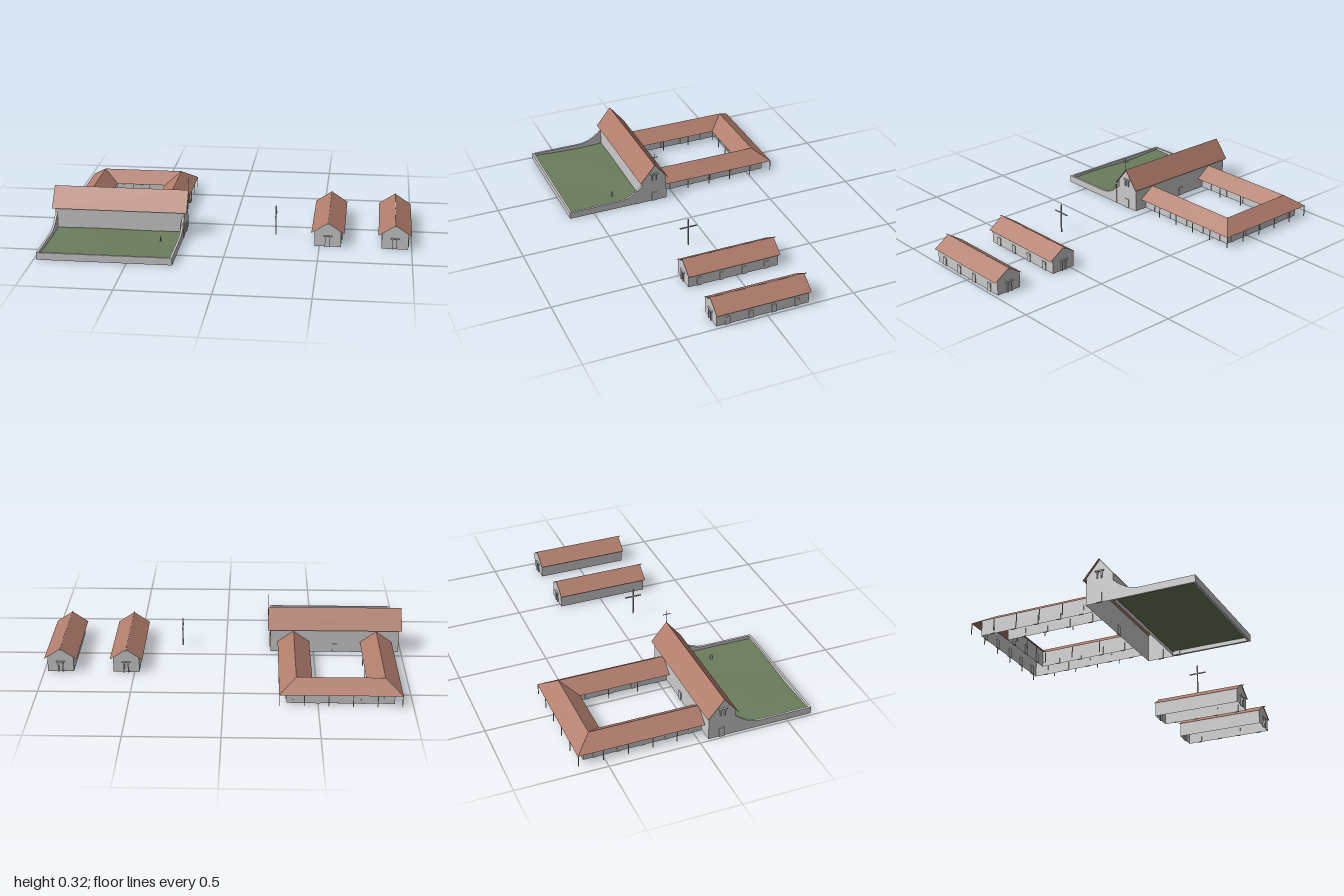
import * as THREE from 'three';

const grey = new THREE.MeshStandardMaterial({ color: 0xcccccc, flatShading: true, side: THREE.DoubleSide });
const tile = new THREE.MeshStandardMaterial({ color: 0xb07c6b, side: THREE.DoubleSide });
const grass = new THREE.MeshStandardMaterial({ color: 0x6b7d5c, side: THREE.DoubleSide });

function mesh(parent, name, geometry, material = grey) {
  const m = new THREE.Mesh(geometry, material);
  m.name = name;
  parent.add(m);
  return m;
}

// box standing on height y
function box(parent, name, w, h, d, x, y, z) {
  const m = mesh(parent, name, new THREE.BoxGeometry(w, h, d));
  m.position.set(x, y + h / 2, z);
  return m;
}

// sheet joining rows of points, flat shaded
function sheet(rows) {
  const p = [];
  for (let i = 0; i + 1 < rows.length; i++) {
    for (let j = 0; j + 1 < rows[i].length; j++) {
      const a = rows[i][j], b = rows[i][j + 1], c = rows[i + 1][j + 1], d = rows[i + 1][j];
      p.push(...a, ...b, ...c, ...a, ...c, ...d);
    }
  }
  const g = new THREE.BufferGeometry();
  g.setAttribute('position', new THREE.Float32BufferAttribute(p, 3));
  g.computeVertexNormals();
  return g;
}

// two jambs with a wide lintel, on an end wall
function portal(parent, name, y, z, h) {
  const g = new THREE.Group();
  g.name = name;
  for (const s of [-1, 1]) box(g, 'jamb', 0.007, h, 0.012, s * 0.012, 0, 0);
  box(g, 'lintel', 0.048, 0.006, 0.014, 0, h - 0.003, 0);
  g.position.set(0, y, z);
  parent.add(g);
}

// open gabled shell with a folded roof, long axis on z
function gabledHouse(name, o) {
  const g = new THREE.Group();
  g.name = name;
  const slope = (o.ridge - o.eave) / o.roofHalf;
  const wallTop = o.ridge - slope * o.wallHalf;
  const zw = o.wallLen / 2, zr = o.roofLen / 2, w = o.wallHalf;
  for (const s of [-1, 1]) {
    mesh(g, 'sideWall', sheet([[[s * w, 0, -zw], [s * w, 0, zw]], [[s * w, wallTop, -zw], [s * w, wallTop, zw]]]));
    const gable = new THREE.Shape([[-w, 0], [w, 0], [w, wallTop], [0, o.ridge], [-w, wallTop]].map(q => new THREE.Vector2(...q)));
    mesh(g, 'gableWall', new THREE.ShapeGeometry(gable)).position.z = s * zw;
  }
  mesh(g, 'roof', sheet([-1, 0, 1].map(s => {
    const y = s ? o.eave : o.ridge;
    return [[s * o.roofHalf, y, -zr], [s * o.roofHalf, y, zr]];
  })), tile);
  return g;
}

function cross(parent, name, x, y, z, height, span, armY, t) {
  const g = new THREE.Group();
  g.name = name;
  box(g, 'upright', t, height, t, 0, 0, 0);
  box(g, 'crossArm', t, t, span, 0, armY, 0);
  g.position.set(x, y, z);
  parent.add(g);
}

// three-winged cloister: outline at inset d from the outer eaves
const X0 = -0.945, X1 = -0.295, Z0 = -0.645, Z1 = 0.05;
const outline = (d, y) => [[X0 + d, y, Z1], [X0 + d, y, Z0 + d], [X1 - d, y, Z0 + d], [X1 - d, y, Z1]];

function cloister() {
  const g = new THREE.Group();
  g.name = 'cloister';
  mesh(g, 'cloisterRoof', sheet([outline(0, 0.063), outline(0.09, 0.127), outline(0.18, 0.063)]), tile);
  for (const d of [0.04, 0.14]) {
    mesh(g, 'cloisterWall', sheet([outline(d, 0), outline(d, 0.09)]));
    // doors along both wings and the back
    for (const z of [-0.54, -0.41, -0.277, -0.145, -0.015]) {
      if (z < Z0 + d) continue;
      for (const x of [X0 + d, X1 - d]) box(g, 'door', 0.008, 0.048, 0.026, x, 0, z);
    }
    for (let i = -2; i <= 2; i++) {
      const x = -0.62 + i * 0.12;
      if (x > X0 + d && x < X1 - d) box(g, 'door', 0.026, 0.048, 0.008, x, 0, Z0 + d);
    }
  }
  // thin posts carrying the outer and inner eaves
  for (const d of [0.003, 0.177]) {
    const n = d < 0.1 ? 5 : 3;
    const za = Z0 + d, xa = X0 + d, xb = X1 - d;
    for (let i = 0; i < n; i++) {
      const z = za + (0.03 - za) * i / n;
      for (const x of [xa, xb]) box(g, 'post', 0.004, 0.063, 0.004, x, 0, z);
      if (i) box(g, 'post', 0.004, 0.063, 0.004, xa + (xb - xa) * i / n, 0, za);
    }
  }
  return g;
}

function garden() {
  const g = new THREE.Group();
  g.name = 'garden';
  // gently rolling lawn
  const lawn = new THREE.PlaneGeometry(0.71, 0.44, 24, 16).rotateX(-Math.PI / 2);
  lawn.translate(-0.62, 0, 0.42);
  const p = lawn.attributes.position;
  for (let i = 0; i < p.count; i++) {
    p.setY(i, 0.022 + 0.006 * Math.sin(p.getX(i) * 11) * Math.cos(p.getZ(i) * 9));
  }
  lawn.computeVertexNormals();
  mesh(g, 'lawn', lawn, grass);
  // side walls sweep up to the hall
  const side = new THREE.Shape();
  side.moveTo(0.645, 0);
  side.lineTo(0.645, 0.04);
  side.lineTo(0.35, 0.04);
  side.quadraticCurveTo(0.275, 0.04, 0.2, 0.112);
  side.lineTo(0.2, 0);
  for (const x of [-0.255, -0.973]) {
    const geo = new THREE.ExtrudeGeometry(side, { depth: 0.012, bevelEnabled: false, curveSegments: 8 });
    mesh(g, 'gardenSideWall', geo.rotateY(-Math.PI / 2)).position.x = x;
  }
  box(g, 'gardenFrontWall', 0.73, 0.04, 0.012, -0.62, 0, 0.639);
  box(g, 'gardenGate', 0.02, 0.085, 0.026, -0.262, 0, 0.232);
  box(g, 'gardenMarker', 0.006, 0.028, 0.012, -0.365, 0.018, 0.35);
  return g;
}

export function createModel() {
  const root = new THREE.Group();
  root.name = 'compound';

  // main hall, long axis turned onto x
  const hall = gabledHouse('hall', { wallHalf: 0.075, roofHalf: 0.088, eave: 0.135, ridge: 0.243, wallLen: 0.73, roofLen: 0.76 });
  for (const s of [-1, 1]) {
    portal(hall, 'gableWindow', 0.137, s * 0.367, 0.04);
    box(hall, 'hallDoor', 0.03, 0.055, 0.01, 0, 0, s * 0.365);
  }
  box(hall, 'courtDoor', 0.01, 0.05, 0.028, 0.075, 0, 0);
  hall.rotation.y = Math.PI / 2;
  hall.position.set(-0.62, 0, 0.127);
  root.add(hall);
  cross(root, 'roofCross', -0.242, 0.24, 0.128, 0.077, 0.044, 0.053, 0.003);

  root.add(cloister(), garden());
  cross(root, 'standingCross', 0.25, 0, 0.125, 0.168, 0.1, 0.115, 0.006);

  // two long houses
  for (const x of [0.545, 0.909]) {
    const house = gabledHouse('longHouse', { wallHalf: 0.072, roofHalf: 0.09, eave: 0.076, ridge: 0.137, wallLen: 0.525, roofLen: 0.535 });
    for (const s of [-1, 1]) portal(house, 'endDoorFrame', 0, s * 0.264, 0.06);
    for (const z of [0.2, 0.07, -0.06, -0.192]) box(house, 'sideDoor', 0.01, 0.048, 0.026, 0.072, 0, z);
    box(house, 'ridgePole', 0.004, 0.004, 0.56, 0, 0.132, 0);
    house.position.set(x, 0, 0.017);
    root.add(house);
  }
  return root;
}
